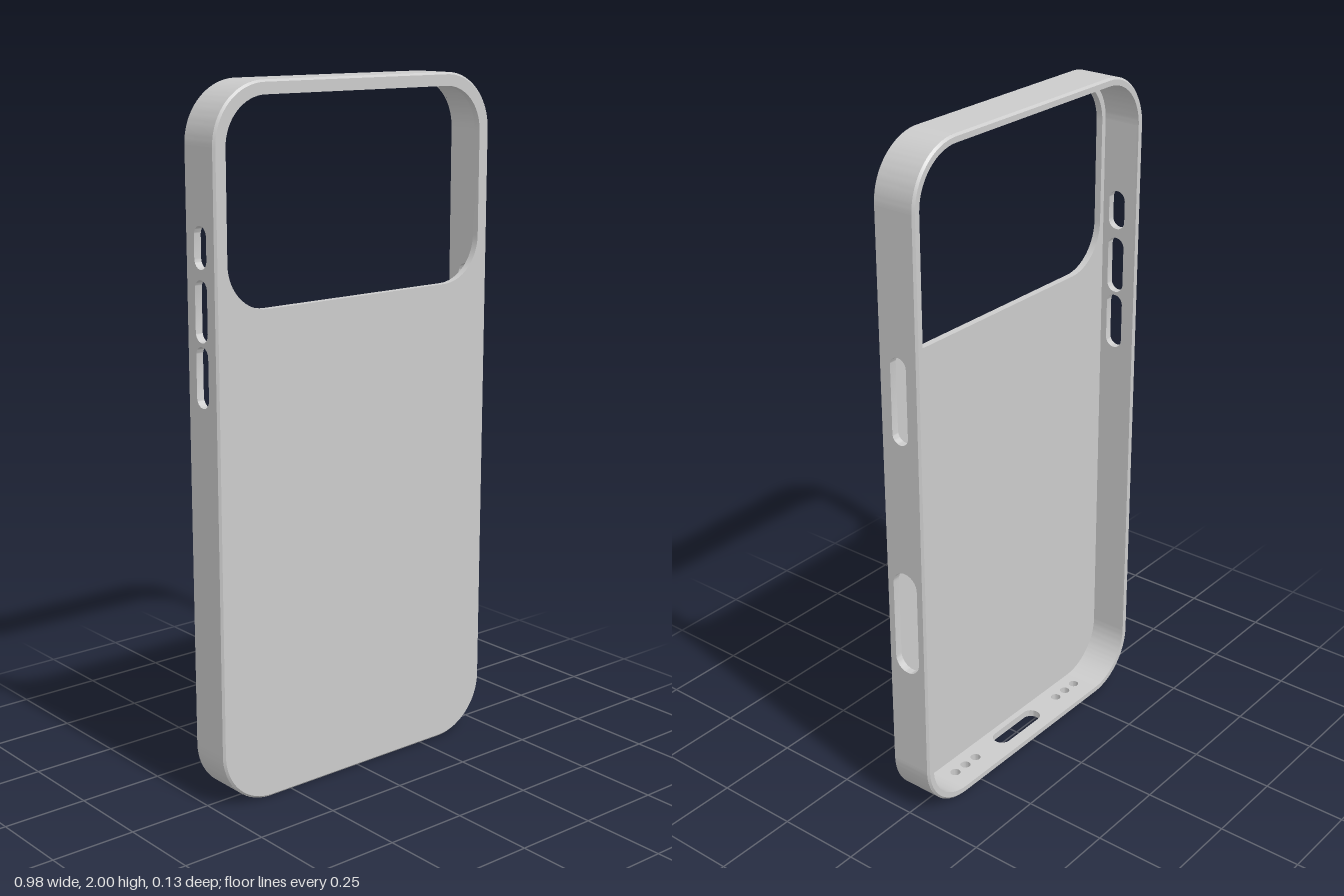
import * as THREE from 'three';
import { toCreasedNormals } from 'three/addons/utils/BufferGeometryUtils.js';

const W = 0.488, H = 2, R = 0.165;      // half width, height, corner radius
const D = 0.067, C = 0.006;             // half depth, edge chamfer
const T = 0.022, PLATE = 0.02;          // wall and plate thickness
const MID = D - C;                      // half depth of the wall between chamfers

// Rounded rectangle as a counter-clockwise list of points
function roundedRect(x0, y0, x1, y1, r, n = 16) {
  const centres = [[x1 - r, y1 - r], [x0 + r, y1 - r], [x0 + r, y0 + r], [x1 - r, y0 + r]];
  const pts = [];
  centres.forEach(([cx, cy], q) => {
    for (let i = 0; i <= n; i++) {
      const a = (q + i / n) * Math.PI / 2;
      pts.push(new THREE.Vector2(cx + r * Math.cos(a), cy + r * Math.sin(a)));
    }
  });
  return pts;
}
const outline = (inset) => roundedRect(-W + inset, inset, W - inset, H - inset, R - inset);

// Capsule hole, long along u
function slot(u0, u1, halfWidth) {
  return new THREE.Path(roundedRect(u0, -halfWidth, u1, halfWidth, halfWidth - 1e-4, 10));
}

// Band around the case through [inset, z] steps
function loopBand(profile) {
  const pos = [], index = [];
  const n = outline(0).length;
  profile.forEach(([inset, z]) => outline(inset).forEach((p) => pos.push(p.x, p.y, z)));
  for (let k = 0; k < profile.length - 1; k++) {
    for (let i = 0; i < n; i++) {
      const a = k * n + i, b = k * n + (i + 1) % n;
      index.push(a, b, b + n, a, b + n, a + n);
    }
  }
  const g = new THREE.BufferGeometry();
  g.setAttribute('position', new THREE.Float32BufferAttribute(pos, 3));
  g.setIndex(index);
  return g;
}

export function createModel() {
  const group = new THREE.Group();
  const material = new THREE.MeshStandardMaterial({ color: 0xcccccc });
  const add = (name, geometry) => {
    const mesh = new THREE.Mesh(toCreasedNormals(geometry, 0.5), material);
    mesh.name = name;
    group.add(mesh);
    return mesh;
  };
  const extrude = (shape, depth) =>
    new THREE.ExtrudeGeometry(shape, { depth, bevelEnabled: false, curveSegments: 16 });

  // Flat plate with the large camera window
  const plate = new THREE.Shape(outline(C));
  plate.holes.push(new THREE.Path(roundedRect(-0.45, 1.402, 0.45, 1.962, 0.13)));
  add('plate', extrude(plate, PLATE).translate(0, 0, D - PLATE));

  // Chamfered edges, front and open rear
  add('frontEdge', loopBand([[0, MID], [C, D]]));
  add('rearLip', loopBand([[T, -MID], [T, -D], [C, -D], [0, -MID]]));

  // Straight walls: shape (u, z) extruded through the wall thickness
  const wall = (name, u0, u1, holes, uAxis, wAxis, x, y) => {
    const shape = new THREE.Shape([
      new THREE.Vector2(u0, -MID), new THREE.Vector2(u1, -MID),
      new THREE.Vector2(u1, MID), new THREE.Vector2(u0, MID),
    ]);
    shape.holes.push(...holes);
    const basis = new THREE.Matrix4().makeBasis(uAxis, new THREE.Vector3(0, 0, 1), wAxis);
    add(name, extrude(shape, T).applyMatrix4(basis).translate(x, y, 0));
  };
  const X = new THREE.Vector3(1, 0, 0), Y = new THREE.Vector3(0, 1, 0);
  const down = new THREE.Vector3(0, -1, 0);

  const leftHoles = [slot(1.19, 1.44, 0.027), slot(0.48, 0.8, 0.042)];
  const rightHoles = [slot(1.515, 1.63, 0.027), slot(1.32, 1.488, 0.027), slot(1.143, 1.31, 0.027)];
  wall('leftWall', R, H - R, leftHoles, Y, X, W - T, 0);
  wall('rightWall', R, H - R, rightHoles, Y, X, -W, 0);

  // Bottom wall with port opening and speaker holes
  const bottomHoles = [slot(-0.1, 0.1, 0.028)];
  for (const side of [-1, 1]) {
    for (const x of [0.2, 0.247, 0.294]) {
      bottomHoles.push(new THREE.Path().absarc(side * x, 0, 0.015, 0, Math.PI * 2));
    }
  }
  wall('bottomWall', -W + R, W - R, bottomHoles, X, down, 0, T);
  wall('topWall', -W + R, W - R, [], X, down, 0, H);

  // Rounded corners
  for (let q = 0; q < 4; q++) {
    const a = q * Math.PI / 2, b = a + Math.PI / 2;
    const arc = new THREE.Shape();
    arc.absarc(0, 0, R, a, b, false);
    arc.absarc(0, 0, R - T, b, a, true);
    const cx = (q === 0 || q === 3 ? 1 : -1) * (W - R);
    const cy = q < 2 ? H - R : R;
    add('corner', extrude(arc, 2 * MID).translate(cx, cy, -MID));
  }
  return group;
}
